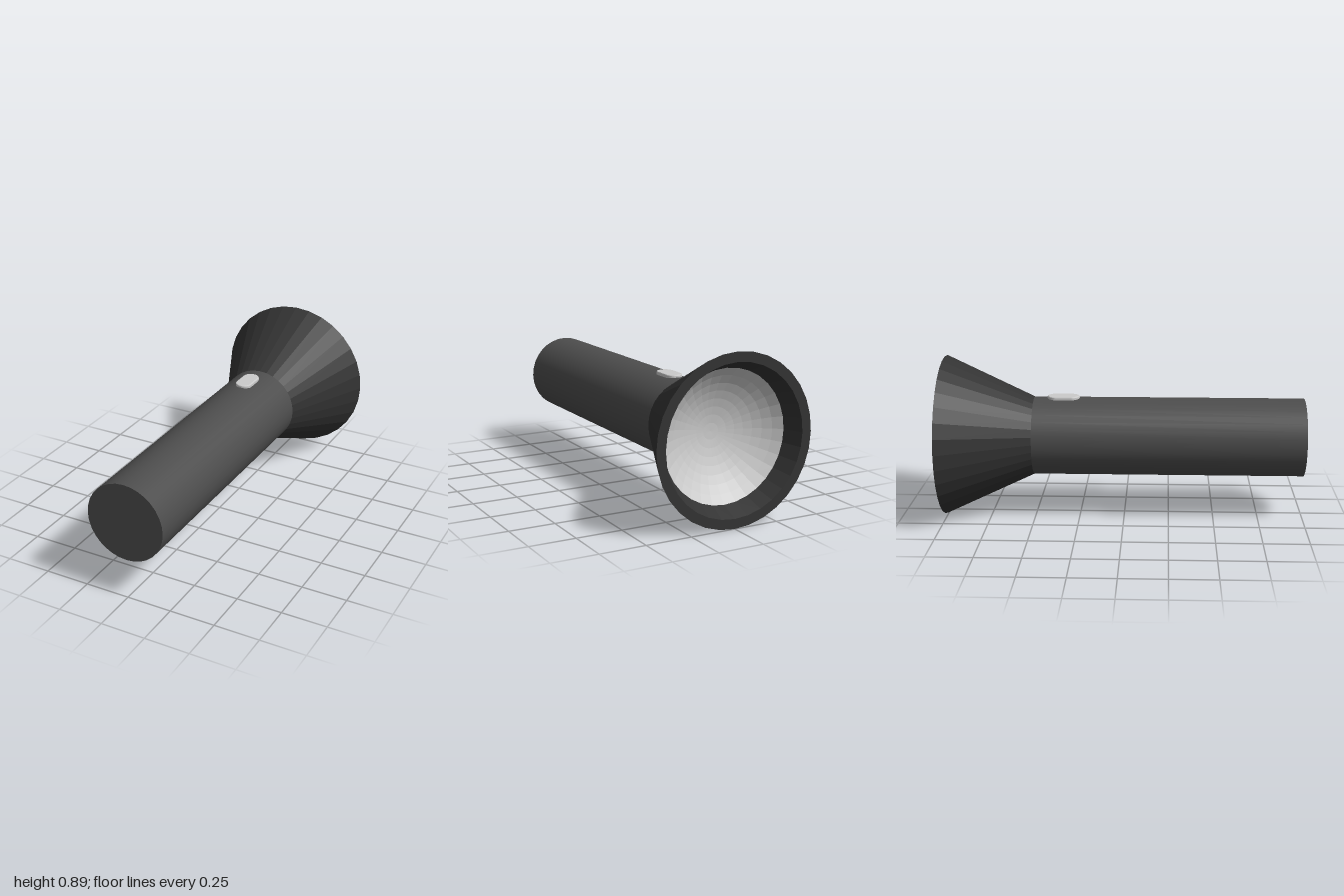
import * as THREE from 'three';

const SIDES = 32;
const AXIS_Y = 0.447;
const BODY_R = 0.218;
const NECK_Z = -0.505;

function add(group, name, geometry, color, flatShading = false) {
  const mesh = new THREE.Mesh(geometry, new THREE.MeshStandardMaterial({ color, flatShading }));
  mesh.name = name;
  group.add(mesh);
  return mesh;
}

// Revolves [radius, z] points about the torch's long axis.
function revolve(points) {
  const profile = points.map(([r, z]) => new THREE.Vector2(r, z));
  return new THREE.LatheGeometry(profile, SIDES).rotateX(Math.PI / 2).translate(0, AXIS_Y, 0);
}

// Rounded slot outline, long in y.
function slotShape(radius, halfLength) {
  const straight = halfLength - radius;
  const shape = new THREE.Shape();
  shape.absarc(0, straight, radius, 0, Math.PI);
  shape.absarc(0, -straight, radius, Math.PI, Math.PI * 2);
  shape.closePath();
  return shape;
}

export function createModel() {
  const torch = new THREE.Group();
  torch.name = 'torch';

  // Handle tube with closed ends
  const length = 1 - NECK_Z;
  add(torch, 'handle', new THREE.CylinderGeometry(BODY_R, BODY_R, length, SIDES)
    .rotateX(Math.PI / 2).translate(0, AXIS_Y, 1 - length / 2), 0x4d4d4d);

  // Flared head: sloping inner wall, flat rim, outer cone
  add(torch, 'head', revolve([
    [0.35, -0.9], [0.395, -1], [0.447, -1], [BODY_R, NECK_Z],
  ]), 0x333333, true);

  // Concave reflector, a spherical cap
  const edgeR = 0.35, depth = 0.14, rings = 8;
  const sphereR = (edgeR ** 2 + depth ** 2) / (2 * depth);
  const dish = [];
  for (let i = 0; i <= rings; i++) {
    const r = edgeR * i / rings;
    dish.push([r, -0.9 + depth - sphereR + Math.sqrt(sphereR ** 2 - r ** 2)]);
  }
  add(torch, 'reflector', revolve(dish), 0xcccccc, true);

  // Slide switch with a softened top edge
  const button = new THREE.ExtrudeGeometry(slotShape(0.041, 0.084), {
    depth: 0.02, bevelThickness: 0.006, bevelSize: 0.006, bevelSegments: 2, curveSegments: 10,
  });
  button.rotateX(-Math.PI / 2).translate(0, 0.652, -0.34);
  add(torch, 'switchButton', button, 0xcccccc);

  return torch;
}
